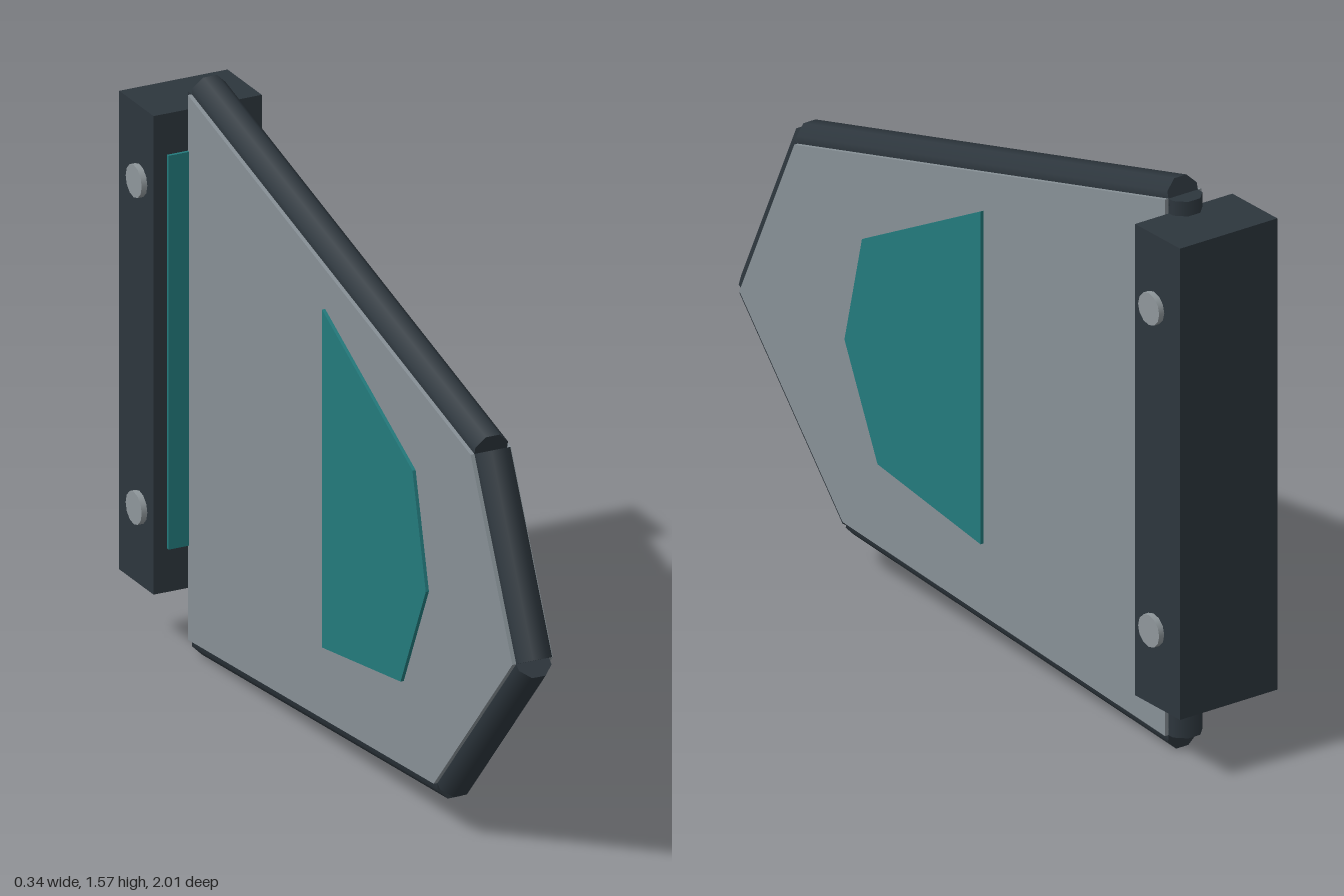
import * as THREE from 'three';

const material = (name, color) => {
  const m = new THREE.MeshStandardMaterial({ color });
  m.name = name;
  return m;
};

export function createModel() {
  const model = new THREE.Group();
  model.name = 'finPanel';
  const plateGrey = material('plate grey', 0x879096);
  const darkSteel = material('dark steel', 0x2d363d);
  const teal = material('teal', 0x237a7c);
  const boltGrey = material('bolt grey', 0x8f979b);

  const add = (name, geometry, mat, x = 0, y = 0, z = 0) => {
    const mesh = new THREE.Mesh(geometry, mat);
    mesh.name = name;
    mesh.position.set(x, y, z);
    model.add(mesh);
    return mesh;
  };

  // Flat slab from a (z, y) outline, centred across x
  const slab = (points, thickness) => {
    const shape = new THREE.Shape(points.map(([z, y]) => new THREE.Vector2(z, y)));
    return new THREE.ExtrudeGeometry(shape, { depth: thickness, bevelEnabled: false })
      .translate(0, 0, -thickness / 2)
      .rotateY(-Math.PI / 2);
  };

  // Main fin plate
  const outline = [[-0.81, 1.53], [0.737, 1.12], [0.966, 0.633], [0.535, 0.152], [-0.81, 0.05]];
  add('finPlate', slab(outline, 0.114), plateGrey);

  // Octagonal rim bars, one along each edge
  outline.forEach(([z0, y0], i) => {
    const [z1, y1] = outline[(i + 1) % outline.length];
    const dz = z1 - z0, dy = y1 - y0;
    const bar = new THREE.CylinderGeometry(0.05, 0.05, Math.hypot(dz, dy), 8, 1, false, Math.PI / 8);
    add('rimBar', bar, darkSteel, 0, (y0 + y1) / 2, (z0 + z1) / 2).rotation.x = Math.atan2(dz, dy);
  });

  // Thin inset panel on each face of the plate
  const panel = [[-0.055, 1.226], [0.44, 0.97], [0.513, 0.667], [0.375, 0.373], [-0.055, 0.308]];
  for (const side of [1, -1]) {
    add(side > 0 ? 'leftPanel' : 'rightPanel', slab(panel, 0.009), teal, side * 0.0635);
  }

  // Mounting block with a strip on its front
  add('mountBlock', new THREE.BoxGeometry(0.306, 1.3, 0.188), darkSteel, 0, 0.84, -0.906);
  add('mountStrip', new THREE.BoxGeometry(0.23, 1.07, 0.009), teal, 0, 0.843, -0.808);

  // Bolts on both sides of the block
  for (const y of [0.4, 1.288]) {
    for (const side of [1, -1]) {
      const bolt = new THREE.CylinderGeometry(0.044, 0.044, 0.03, 12).rotateZ(Math.PI / 2);
      add(side > 0 ? 'leftBolt' : 'rightBolt', bolt, boltGrey, side * 0.154, y, -0.89);
    }
  }
  return model;
}
